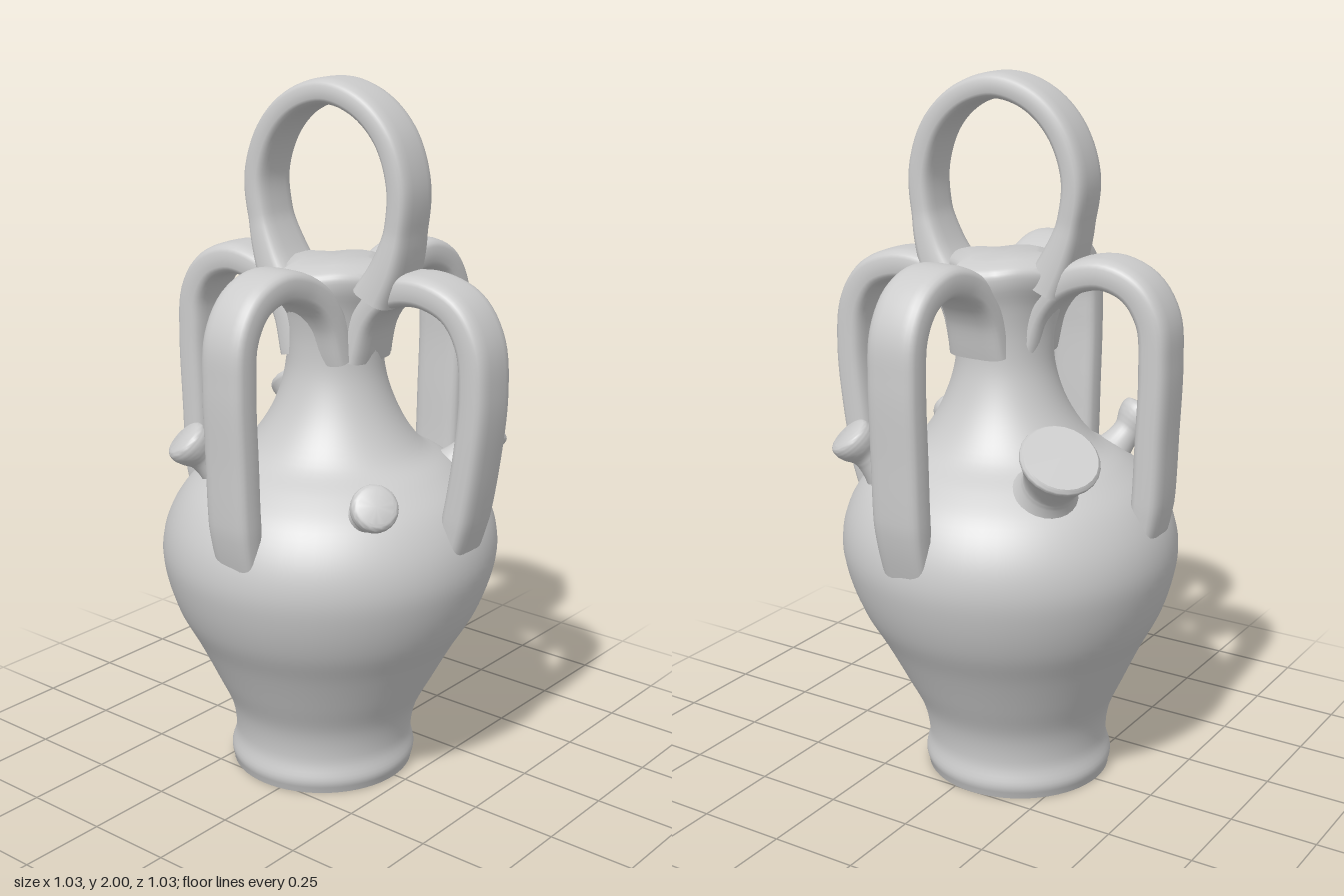
import * as THREE from 'three';
import { toCreasedNormals } from 'three/addons/utils/BufferGeometryUtils.js';

const V = (x, y, z) => new THREE.Vector3(x, y, z);
const clay = new THREE.MeshStandardMaterial({ color: 0xcccccc, side: THREE.DoubleSide });

function named(geometry, name) {
  const mesh = new THREE.Mesh(geometry, clay);
  mesh.name = name;
  return mesh;
}

// Smooth profile of [radius, y] pairs turned round the y axis, closed at both ends
function turned(profile, samples, segments) {
  const curve = new THREE.SplineCurve(profile.map(([r, y]) => new THREE.Vector2(r, y)));
  const pts = curve.getPoints(samples);
  pts.unshift(new THREE.Vector2(0, pts[0].y));
  pts.push(new THREE.Vector2(0, pts[pts.length - 1].y));
  return toCreasedNormals(new THREE.LatheGeometry(pts, segments), 0.7);
}

// Flat strap with rounded edges swept along a path; size(t) gives [width, thickness]
function strap(points, side, size, steps = 64, sides = 24) {
  const curve = new THREE.CatmullRomCurve3(points);
  const pos = [], idx = [];
  const round = (c) => Math.sign(c) * Math.pow(Math.abs(c), 0.58);
  for (let i = 0; i <= steps; i++) {
    const t = i / steps;
    const c = curve.getPointAt(t), T = curve.getTangentAt(t);
    const b = side.clone().addScaledVector(T, -side.dot(T)).normalize();
    const n = b.clone().cross(T);
    const [w, h] = size(t);
    for (let j = 0; j < sides; j++) {
      const a = (j / sides) * Math.PI * 2;
      const p = c.clone()
        .addScaledVector(n, round(Math.cos(a)) * h / 2)
        .addScaledVector(b, round(Math.sin(a)) * w / 2);
      pos.push(p.x, p.y, p.z);
      if (i < steps) {
        const k = i * sides + j, l = i * sides + (j + 1) % sides;
        idx.push(k, l, k + sides, l, l + sides, k + sides);
      }
    }
  }
  const g = new THREE.BufferGeometry();
  g.setAttribute('position', new THREE.Float32BufferAttribute(pos, 3));
  g.setIndex(idx);
  g.computeVertexNormals();
  return g;
}

// Stub on the shoulder: wide root, narrow stem, profile of the tip as [radius, share of length]
function spout(root, tip, stem, head, name) {
  const dir = tip.clone().sub(root), L = dir.length();
  const g = turned([
    [stem * 2.9, 0], [stem * 2.1, L * 0.17], [stem * 1.4, L * 0.36], [stem * 1.06, L * 0.54],
    ...head.map(([r, s]) => [r, L * s]),
  ], 32, 24);
  const mesh = named(g, name);
  mesh.position.copy(root);
  mesh.quaternion.setFromUnitVectors(V(0, 1, 0), dir.normalize());
  return mesh;
}

export function createModel() {
  const jug = new THREE.Group();
  jug.name = 'jug';

  // Body and neck, leaning slightly; the top of the neck spreads in four lobes to the handles
  const body = turned([
    [0.265, 0.01], [0.272, 0.04], [0.26, 0.1], [0.275, 0.19], [0.322, 0.29], [0.377, 0.4],
    [0.432, 0.5], [0.467, 0.6], [0.48, 0.69], [0.462, 0.78], [0.412, 0.865], [0.335, 0.93],
    [0.25, 0.985], [0.183, 1.08], [0.143, 1.19], [0.137, 1.29], [0.15, 1.38],
    [0.172, 1.45], [0.165, 1.49], [0.11, 1.512],
  ], 90, 64);
  const p = body.attributes.position;
  for (let i = 0; i < p.count; i++) {
    const x = p.getX(i), y = p.getY(i), z = p.getZ(i);
    const lobe = 1 + 0.2 * THREE.MathUtils.smoothstep(y, 1.2, 1.46) * Math.cos(4 * Math.atan2(z, x));
    p.setXYZ(i, x * lobe - 0.055 + 0.05 * Math.min(1, y / 1.1), y <= 0.011 ? 0 : y, z * lobe + 0.01);
  }
  jug.add(named(body, 'body'));

  // Four side handles, rising out of the neck: direction, sideways offset, width, [distance, height] path
  const tall = [[0.085, 1.25], [0.115, 1.36], [0.165, 1.43], [0.235, 1.47], [0.32, 1.484],
    [0.405, 1.45], [0.457, 1.37], [0.468, 1.25], [0.463, 1.05], [0.452, 0.82], [0.42, 0.66]];
  const low = [[0.085, 1.25], [0.115, 1.36], [0.165, 1.425], [0.235, 1.455], [0.32, 1.457],
    [0.408, 1.42], [0.462, 1.335], [0.476, 1.2], [0.457, 1.0], [0.42, 0.8], [0.38, 0.66]];
  const handles = [
    ['leftHandle', V(1, 0, -0.04), V(0, 0, 0), 0.158, low],
    ['rightHandle', V(-1, 0, 0.06), V(0, 0, 0.025), 0.162, tall],
    ['frontHandle', V(0, 0, 1), V(0.02, 0, 0), 0.145, tall],
    ['backHandle', V(0.03, 0, -1), V(0.01, 0, 0), 0.155, tall],
  ];
  for (const [name, dir, shift, width, path] of handles) {
    const d = dir.clone().normalize();
    const pts = path.map(([r, y]) => d.clone().multiplyScalar(r).add(shift).setY(y));
    const size = (t) => {
      const root = Math.max(0, 1 - t * 5), foot = Math.max(0, (t - 0.84) / 0.16);
      return [width + 0.03 * root - 0.02 * foot, 0.09 - 0.03 * foot];
    };
    jug.add(named(strap(pts, V(-d.z, 0, d.x), size), name));
  }

  // Carrying loop over the mouth
  const loop = [[-0.14, 1.43], [-0.178, 1.51], [-0.21, 1.61], [-0.222, 1.73], [-0.18, 1.85],
    [-0.1, 1.93], [0.008, 1.963], [0.115, 1.93], [0.195, 1.85], [0.235, 1.73],
    [0.228, 1.61], [0.2, 1.51], [0.16, 1.43]];
  jug.add(named(strap(
    loop.map(([x, y]) => V(x, y, 0.02 - 0.09 * x)), V(0.09, 0, 1).normalize(),
    (t) => {
      const foot = Math.max(0, 1 - Math.min(t, 1 - t) * 7);
      return [0.157 + 0.04 * foot, 0.072 + 0.05 * foot];
    }, 80), 'topLoop'));

  // Wide filling spout and three small knobbed stubs on the shoulder
  const funnel = [[0.077, 0.66], [0.096, 0.85], [0.109, 0.95], [0.1, 1]];
  const knob = [[0.044, 0.68], [0.057, 0.79], [0.064, 0.89], [0.06, 0.97], [0.046, 1]];
  jug.add(spout(V(-0.2, 0.82, -0.15), V(-0.347, 1.055, -0.265), 0.074, funnel, 'fillingSpout'));
  jug.add(spout(V(-0.175, 0.84, 0.205), V(-0.275, 1.025, 0.347), 0.043, knob, 'frontRightStub'));
  jug.add(spout(V(0.2, 0.82, 0.175), V(0.372, 0.955, 0.302), 0.043, knob, 'frontLeftStub'));
  jug.add(spout(V(0.2, 0.84, -0.195), V(0.312, 1.025, -0.31), 0.043, knob, 'backLeftStub'));

  return jug;
}
